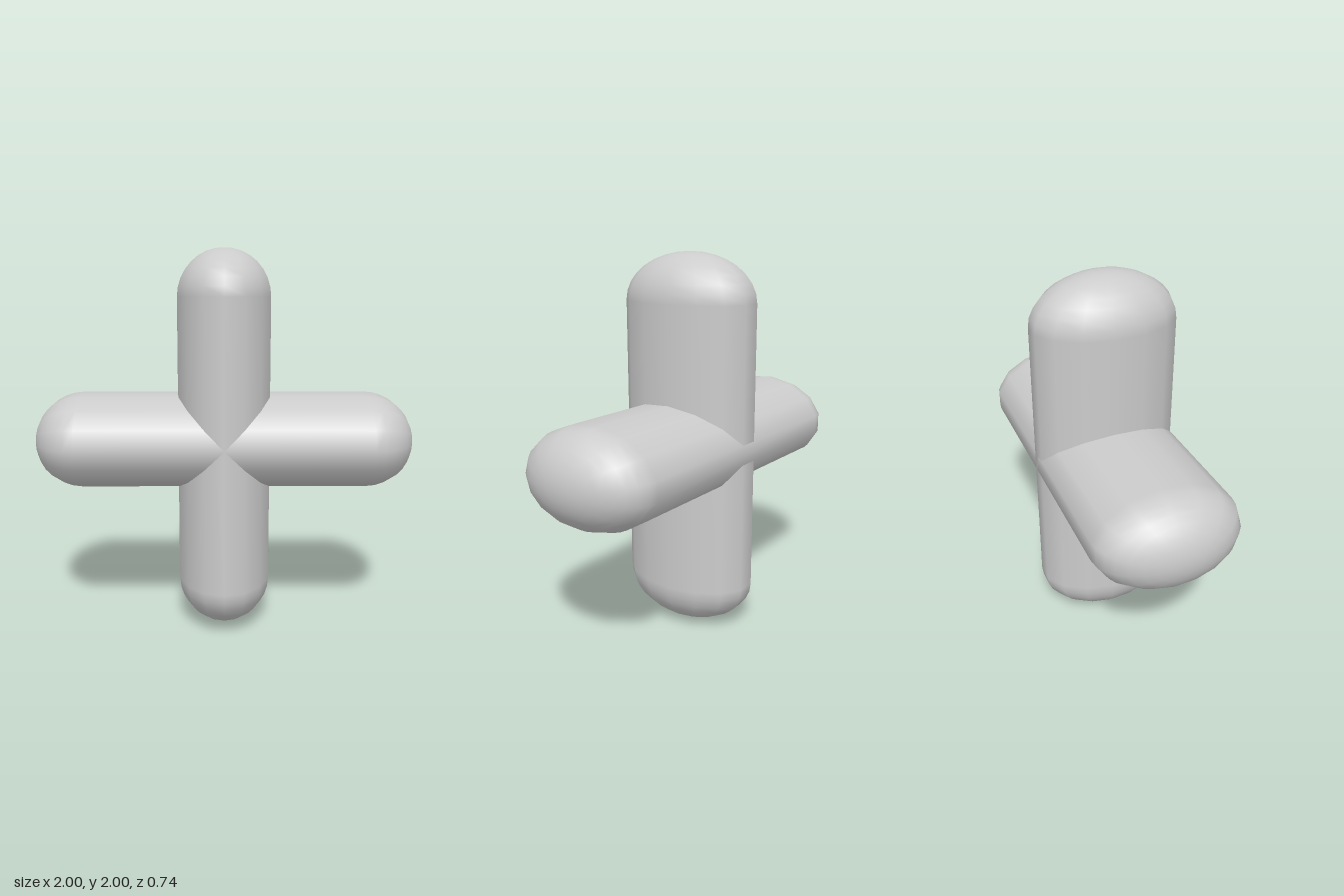
import * as THREE from 'three';

const RADIUS = 0.25;
const DEPTH = 1.5; // bars are deeper than wide

// A round-ended bar of 15 sides with one edge facing the front
function makeBar(name, tilt) {
  const geometry = new THREE.CapsuleGeometry(RADIUS, 2 - 2 * RADIUS, 8, 15);
  geometry.rotateY(Math.PI / 2);
  geometry.scale(1, 1, DEPTH);
  geometry.rotateZ(tilt);
  const bar = new THREE.Mesh(geometry, new THREE.MeshStandardMaterial({ color: 0xcccccc }));
  bar.name = name;
  // The odd side count leaves the back flat, so shift to centre the depth
  bar.position.set(0, 1, -0.004);
  return bar;
}

export function createModel() {
  const cross = new THREE.Group();
  cross.name = 'cross';
  cross.add(makeBar('uprightBar', 0), makeBar('crossBar', Math.PI / 2));
  return cross;
}
